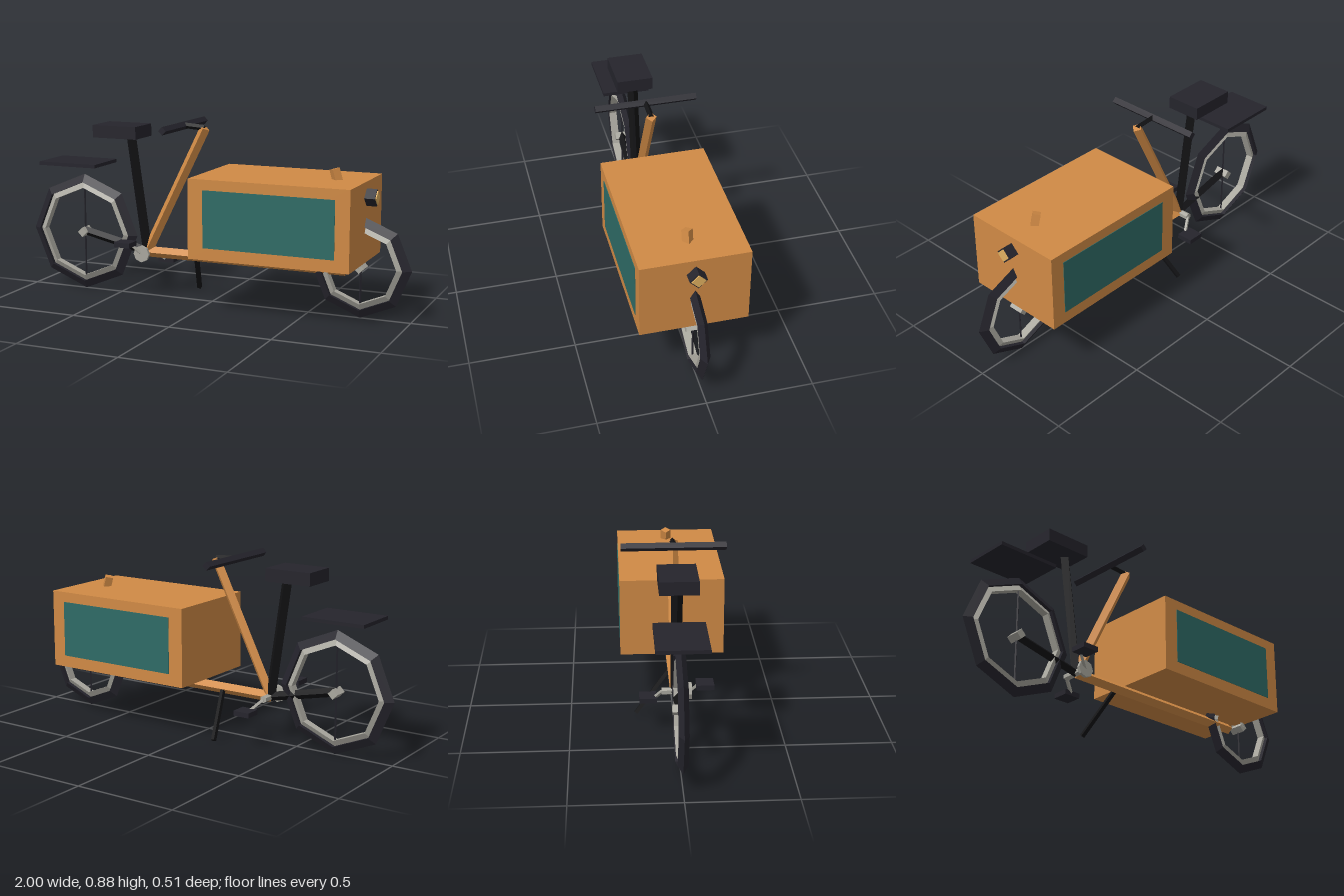
import * as THREE from 'three';

const mat = (color) => new THREE.MeshStandardMaterial({ color, flatShading: true });

export function createModel() {
  const bike = new THREE.Group();
  bike.name = 'cargoBike';
  const paint = mat(0xd08a45), dark = mat(0x25242c), black = mat(0x121214);
  const metal = mat(0xaaa89f), teal = mat(0x2f6b66), lamp = mat(0xe0b060);

  const add = (name, geometry, material, parent = bike) => {
    const mesh = new THREE.Mesh(geometry, material);
    mesh.name = name;
    parent.add(mesh);
    return mesh;
  };
  // Box given by its low and high corners
  const box = (name, lo, hi, material) => {
    const a = new THREE.Vector3(...lo), b = new THREE.Vector3(...hi);
    const s = b.clone().sub(a);
    add(name, new THREE.BoxGeometry(s.x, s.y, s.z), material).position.copy(a.add(b).multiplyScalar(0.5));
  };
  // Straight bar between two points
  const bar = (name, from, to, r, material, sides = 4, parent = bike) => {
    const a = new THREE.Vector3(...from), b = new THREE.Vector3(...to);
    const d = b.clone().sub(a);
    const mesh = add(name, new THREE.CylinderGeometry(r, r, d.length(), sides), material, parent);
    mesh.position.copy(a).add(b).multiplyScalar(0.5);
    mesh.quaternion.setFromUnitVectors(new THREE.Vector3(0, 1, 0), d.normalize());
  };

  // Eight-sided wheels with wedge-shaped tyres
  const wheel = (name, x, radius) => {
    const g = new THREE.Group();
    g.name = name;
    g.position.set(x, radius, 0);
    bike.add(g);
    const ring = radius - 0.027;
    add('tyre', new THREE.TorusGeometry(ring, 0.027, 3, 8), dark, g);
    add('rim', new THREE.TorusGeometry(ring - 0.031, 0.023, 3, 8), metal, g);
    bar('spoke', [0, -ring + 0.03, 0], [0, ring - 0.03, 0], 0.005, dark, 4, g);
    bar('hub', [0, 0, -0.036], [0, 0, 0.036], 0.025, metal, 4, g);
  };
  wheel('rearWheel', -0.705, 0.296);
  wheel('frontWheel', 0.755, 0.244);

  // Frame
  const crankX = -0.353, crankY = 0.222;
  bar('mainTube', [crankX, crankY, 0], [0.68, crankY, 0], 0.027, paint);
  bar('steeringTube', [crankX, crankY, 0], [-0.038, 0.857, 0], 0.026, paint);
  bar('seatTube', [crankX, crankY, 0], [-0.437, 0.8, 0], 0.026, black);
  bar('chainStay', [-0.705, 0.3, 0], [crankX, crankY, 0], 0.022, black);
  bar('headTube', [0.685, 0.47, 0], [0.618, 0.7, 0], 0.026, paint);
  for (const z of [-0.03, 0.03])
    bar('forkBlade', [0.755, 0.244, z], [0.69, 0.47, z], 0.008, metal);

  // Seat, rack and handlebar
  box('seat', [-0.605, 0.793, -0.088], [-0.37, 0.855, 0.088], dark);
  box('rearRack', [-0.897, 0.643, -0.117], [-0.583, 0.66, 0.117], dark);
  bar('handlebarStem', [-0.04, 0.858, 0], [-0.15, 0.866, 0], 0.014, black);
  bar('handlebar', [-0.15, 0.864, -0.246], [-0.15, 0.864, 0.246], 0.02, dark);

  // Cargo box with side panels
  box('cargoBox', [-0.016, 0.267, -0.253], [0.775, 0.65, 0.253], paint);
  for (const s of [-1, 1])
    box('sidePanel', [0.06, 0.325, s * 0.2535 - 0.002], [0.705, 0.6, s * 0.2535 + 0.002], teal);

  // Headlight
  bar('headlight', [0.77, 0.577, 0], [0.825, 0.577, 0], 0.041, dark);
  bar('headlightLens', [0.82, 0.577, 0], [0.83, 0.577, 0], 0.033, lamp);

  // Cranks and pedals, opposite each other
  bar('crankAxle', [crankX, crankY, -0.068], [crankX, crankY, 0.068], 0.018, metal, 6);
  bar('chainring', [crankX, crankY, 0.058], [crankX, crankY, 0.073], 0.042, metal, 8);
  for (const s of [-1, 1]) {
    const x = crankX - s * 0.058, y = crankY + s * 0.058, z = s * 0.13;
    bar('crankArm', [crankX, crankY, s * 0.066], [x, y, s * 0.098], 0.009, metal);
    box('pedal', [x - 0.042, y - 0.012, z - 0.041], [x + 0.042, y + 0.012, z + 0.041], dark);
  }

  // Kickstand
  bar('kickstand', [-0.093, 0.215, -0.02], [-0.15, 0.015, -0.184], 0.013, black);
  return bike;
}
